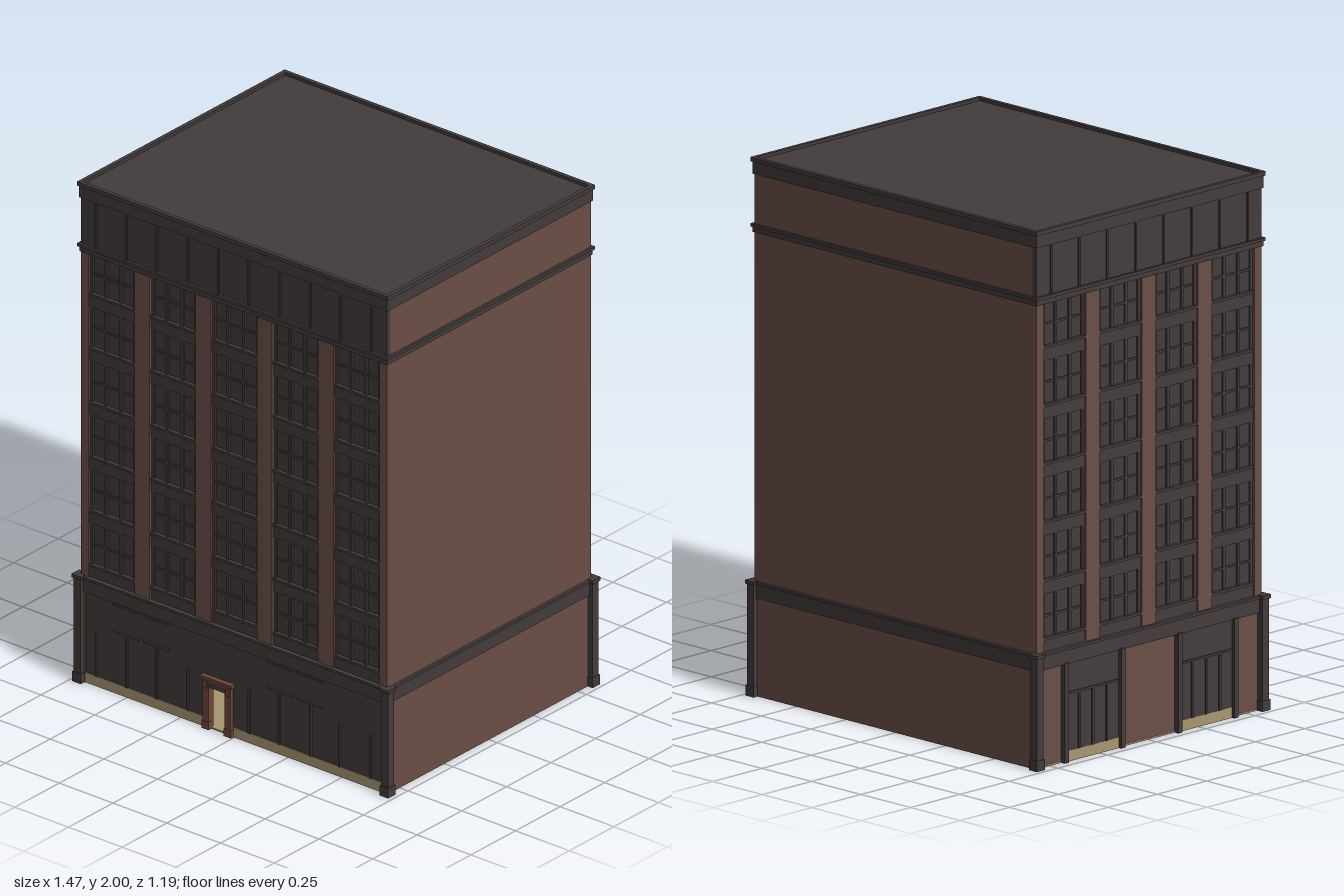
import * as THREE from 'three';

const mat = (name, color) => {
  const m = new THREE.MeshStandardMaterial({ color });
  m.name = name;
  return m;
};

export function createModel() {
  const brick = mat('brown brick', 0x6b4f46);
  const dark = mat('charcoal', 0x433c3c);
  const stone = mat('tan stone', 0xa8966f);
  const doorRed = mat('red brown trim', 0x70483a);

  const model = new THREE.Group();
  model.name = 'building';

  // box given by its limits along each axis
  const box = (parent, name, material, x0, x1, y0, y1, z0, z1) => {
    const mesh = new THREE.Mesh(new THREE.BoxGeometry(x1 - x0, y1 - y0, z1 - z0), material);
    mesh.position.set((x0 + x1) / 2, (y0 + y1) / 2, (z0 + z1) / 2);
    mesh.name = name;
    parent.add(mesh);
    return mesh;
  };
  // box centred on x and z
  const slab = (name, material, hx, hz, y0, y1) =>
    box(model, name, material, -hx, hx, y0, y1, -hz, hz);

  const W = 0.712, D = 0.572, RECESS = 0.02, PITCH = 0.285, BAY = 0.107;

  // hollow ground floor: floor and the two plain walls
  slab('groundFloor', stone, W - 0.004, D - 0.004, 0, 0.006);
  box(model, 'backWall', brick, -W, W, 0, 0.37, -D, -D + RECESS);
  box(model, 'leftWall', brick, W - RECESS, W, 0, 0.37, -D, D);

  // upper body, set back behind the two windowed faces
  box(model, 'upperBody', brick, -W + RECESS, W, 0.37, 1.96, -D, D - RECESS);

  // ledges around all sides
  slab('groundCornice', dark, W + 0.006, D + 0.006, 0.365, 0.418);
  slab('groundCorniceCap', dark, W + 0.012, D + 0.012, 0.418, 0.428);
  slab('atticLedge', dark, W + 0.004, D + 0.004, 1.722, 1.742);
  slab('atticLedgeCap', dark, W + 0.01, D + 0.01, 1.742, 1.754);
  slab('roofCornice', dark, W + 0.005, D + 0.005, 1.938, 1.988);

  // roof rim
  const hx = W + 0.01, hz = D + 0.01, rim = 0.016;
  for (const s of [-1, 1]) {
    const px = s * (hx - rim / 2), pz = s * (hz - rim / 2);
    box(model, 'roofRim', dark, px - rim / 2, px + rim / 2, 1.984, 2, -hz, hz);
    box(model, 'roofRim', dark, -hx + rim, hx - rim, 1.984, 2, pz - rim / 2, pz + rim / 2);
  }

  // corner posts with base and cap
  for (const sx of [-1, 1]) for (const sz of [-1, 1]) {
    const post = new THREE.Group();
    post.name = 'cornerPost';
    post.position.set(sx * 0.715, 0, sz * 0.573);
    box(post, 'postBase', dark, -0.02, 0.02, 0, 0.04, -0.02, 0.02);
    box(post, 'postShaft', dark, -0.017, 0.017, 0.04, 0.416, -0.017, 0.017);
    box(post, 'postCap', dark, -0.022, 0.022, 0.416, 0.43, -0.022, 0.022);
    model.add(post);
  }

  // windowed face: local x runs along it, local z = 0 is the recessed plane
  const facade = (name, bays, half) => {
    const g = new THREE.Group();
    g.name = name;
    const y0 = 0.425, y1 = 1.725, rows = 6, step = (y1 - y0) / rows;
    box(g, 'windowGlass', dark, -half + 0.005, half - 0.005, y0, y1, 0, 0.004);
    let edge = -half;
    for (let b = 0; b < bays; b++) {
      const c = (b - (bays - 1) / 2) * PITCH;
      box(g, 'brickPier', brick, edge, c - BAY, y0, y1, 0, RECESS);
      edge = c + BAY;
      for (const m of [-0.101, -0.036, 0.036, 0.101])
        box(g, 'mullion', dark, c + m - 0.006, c + m + 0.006, y0, y1, 0, 0.011);
      for (let r = 0; r < rows; r++) {
        const y = y0 + r * step;
        box(g, 'spandrel', dark, c - BAY, c + BAY, y, y + 0.046, 0, 0.014);
        box(g, 'windowSill', dark, c - BAY, c + BAY, y + 0.046, y + 0.056, 0, 0.019);
        box(g, 'transomBar', dark, c - BAY, c + BAY, y + 0.13, y + 0.138, 0, 0.009);
      }
    }
    box(g, 'brickPier', brick, edge, half, y0, y1, 0, RECESS);
    // attic panels and ribs
    box(g, 'atticPanel', dark, -half, half, 1.75, 1.94, 0, RECESS);
    const ribs = bays * 2;
    for (let i = 0; i < ribs; i++) {
      const x = (i - (ribs - 1) / 2) * PITCH / 2;
      box(g, 'atticRib', dark, x - 0.004, x + 0.004, 1.754, 1.938, RECESS, RECESS + 0.005);
    }
    model.add(g);
    return g;
  };

  const front = facade('frontFace', 5, W);
  front.position.z = D - RECESS;
  const side = facade('rightFace', 4, D - 0.001);
  side.position.x = -W + RECESS;
  side.rotation.y = -Math.PI / 2;

  // front shop level, open at the doorway
  const doorX = -0.073, open = 0.038, openTop = 0.178;
  for (const [a, b] of [[-0.7, doorX - open], [doorX + open, 0.7]]) {
    box(front, 'shopWall', dark, a, b, 0.04, 0.37, 0, RECESS - 0.004);
    box(front, 'bulkhead', stone, a, b, 0, 0.04, 0, RECESS - 0.002);
  }
  box(front, 'doorHeader', dark, doorX - open, doorX + open, openTop, 0.37, 0, RECESS - 0.004);

  // shop window frames
  const frameBar = (parent, x, top) =>
    box(parent, 'shopMullion', dark, x - 0.004, x + 0.004, 0.04, top, RECESS - 0.004, RECESS + 0.003);
  for (const x of [-0.64, -0.215, 0.07, 0.49, 0.635]) frameBar(front, x, 0.212);
  for (const x of [-0.5, -0.36, 0.21, 0.355]) frameBar(front, x, 0.255);
  for (const c of [-0.43, 0.285]) for (const y of [0.248, 0.352])
    for (const dx of [-0.07, 0.07])
      box(front, 'shopRail', dark, c + dx - 0.06, c + dx + 0.06, y, y + 0.008, RECESS - 0.004, RECESS + 0.004);

  // door surround
  const door = new THREE.Group();
  door.name = 'doorSurround';
  door.position.set(doorX, 0, RECESS - 0.004);
  for (const s of [-1, 1]) {
    const c = s * 0.052;
    box(door, 'doorJamb', doorRed, c - 0.014, c + 0.014, 0, 0.19, -0.016, 0.014);
    box(door, 'jambBase', doorRed, c - 0.017, c + 0.017, 0, 0.03, 0, 0.016);
    box(door, 'doorBracket', doorRed, c - 0.01, c + 0.01, 0.165, 0.192, 0.014, 0.018);
  }
  box(door, 'doorLintel', doorRed, -0.066, 0.066, 0.185, 0.202, -0.01, 0.014);
  box(door, 'doorHood', doorRed, -0.074, 0.074, 0.2, 0.212, 0, 0.02);
  box(door, 'doorHeadBar', dark, -0.04, 0.04, 0.168, 0.185, -0.01, 0.01);
  model.add(door);
  door.position.z += D - RECESS;

  // side shop level: brick with two shop windows between pilasters
  box(side, 'sideWall', brick, -D + 0.001, D - 0.001, 0, 0.37, 0, RECESS - 0.006);
  for (const c of [-0.2875, 0.2875]) {
    box(side, 'shopWindow', dark, c - 0.143, c + 0.143, 0.04, 0.365, RECESS - 0.006, RECESS);
    box(side, 'bulkhead', stone, c - 0.143, c + 0.143, 0, 0.04, RECESS - 0.006, RECESS + 0.001);
    for (const dx of [-0.07, 0, 0.07])
      box(side, 'shopMullion', dark, c + dx - 0.004, c + dx + 0.004, 0.04, 0.25, RECESS, RECESS + 0.005);
    box(side, 'shopRail', dark, c - 0.13, c + 0.13, 0.25, 0.258, RECESS, RECESS + 0.005);
    for (const dx of [-0.143, 0.143])
      box(side, 'pilaster', dark, c + dx - 0.01, c + dx + 0.01, 0, 0.37, 0, RECESS + 0.014);
  }

  return model;
}
